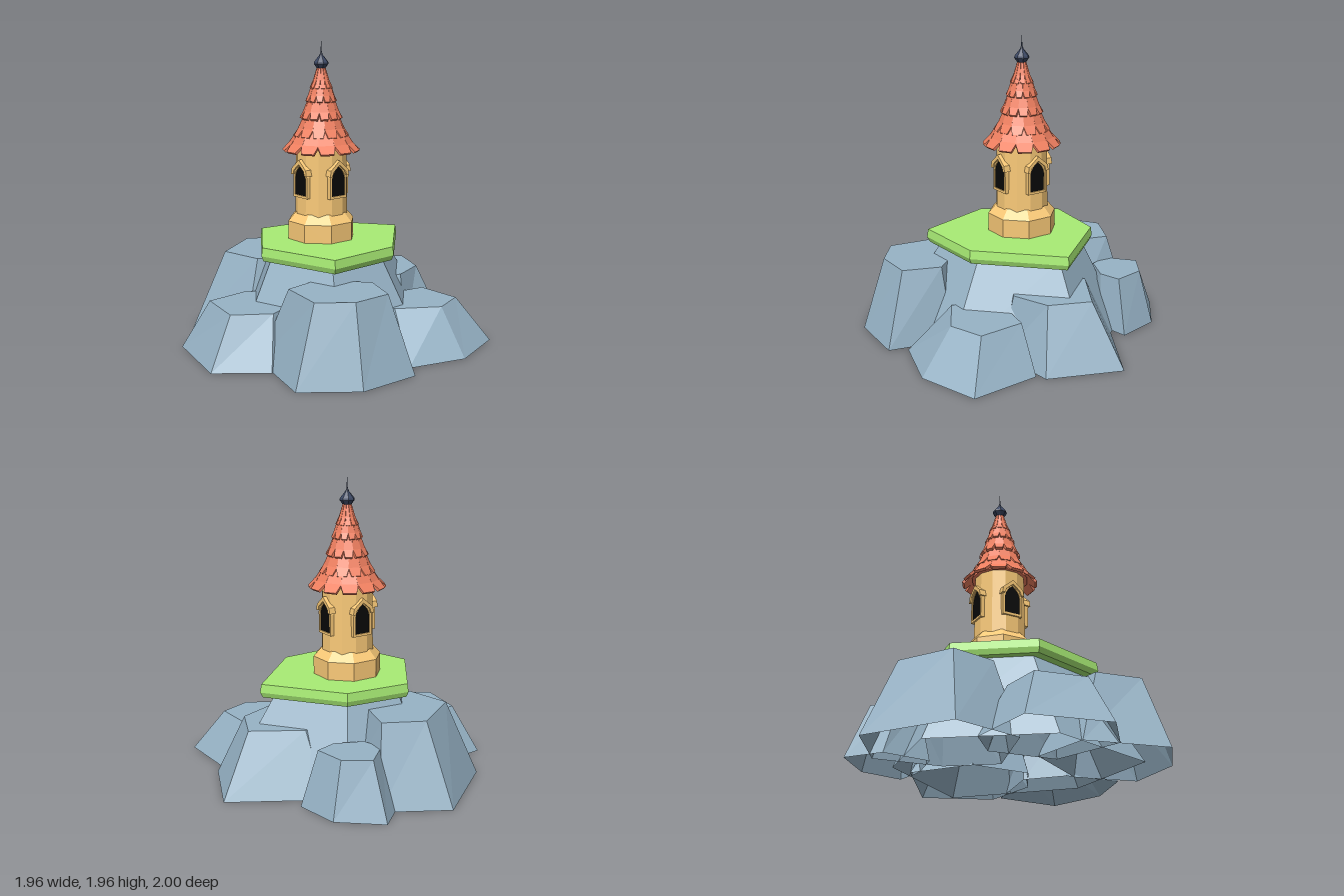
import * as THREE from 'three';
import { mergeGeometries } from 'three/addons/utils/BufferGeometryUtils.js';

const mat = (color, side = THREE.FrontSide) =>
  new THREE.MeshStandardMaterial({ color, flatShading: true, side });
const ROCK = mat(0x97b3c6, THREE.DoubleSide);
const GRASS = mat(0xa8ec74);
const STONE = mat(0xfaca78);
const TILE = mat(0xf08060);
const METAL = mat(0x3c4863);
const DARK = mat(0x080808, THREE.DoubleSide);

function add(parent, name, geometry, material) {
  const mesh = new THREE.Mesh(geometry, material);
  mesh.name = name;
  parent.add(mesh);
  return mesh;
}

// Faceted skin through rings of [x, z] points at given heights, capped on top
function loft(rings) {
  const pos = [];
  const tri = (...pts) => pts.forEach((p) => pos.push(...p));
  const at = ({ y, pts }) => pts.map(([x, z]) => [x, y, z]);
  const n = rings[0].pts.length;
  for (let r = 0; r < rings.length - 1; r++) {
    const a = at(rings[r]), b = at(rings[r + 1]);
    for (let i = 0; i < n; i++) {
      const j = (i + 1) % n;
      tri(a[i], a[j], b[j]);
      tri(a[i], b[j], b[i]);
    }
  }
  const top = at(rings[rings.length - 1]);
  for (let i = 1; i < n - 1; i++) tri(top[0], top[i], top[i + 1]);
  const g = new THREE.BufferGeometry();
  g.setAttribute('position', new THREE.Float32BufferAttribute(pos, 3));
  g.computeVertexNormals();
  return g;
}

// Many-sided turned part with a flat side to the front; profile is [apothem, y]
function turned(sides, profile) {
  const half = Math.PI / sides;
  return new THREE.LatheGeometry(
    profile.map(([r, y]) => new THREE.Vector2(r / Math.cos(half), y)), sides, half);
}

// Pointed arch outline
function arch(path, w, y0, spring, apex) {
  path.moveTo(-w, y0);
  path.lineTo(w, y0);
  path.lineTo(w, spring);
  path.quadraticCurveTo(w * 0.85, spring + (apex - spring) * 0.6, 0, apex);
  path.quadraticCurveTo(-w * 0.85, spring + (apex - spring) * 0.6, -w, spring);
  path.closePath();
  return path;
}

function extrude(shape, z0, z1) {
  return new THREE.ExtrudeGeometry(shape, { depth: z1 - z0, bevelEnabled: false, curveSegments: 4 })
    .translate(0, 0, z0);
}

// Ring of overlapping tiles, each a thin slab that flares out and narrows at its foot
function tileRow([r0, y0, r1, y1], offset) {
  const count = 12, step = (Math.PI * 2) / count, t = Math.tan(step / 2);
  const rMid = r0 + (r1 - r0) * 0.46, yMid = y0 + (y1 - y0) * 0.34;
  const levels = [[r0, y0, r0 * t * 0.66], [rMid, yMid, rMid * t * 1.1], [r1, y1, r1 * t]];
  const tile = new THREE.BoxGeometry(2, 2, 1, 1, 2, 1);
  const p = tile.attributes.position;
  for (let i = 0; i < p.count; i++) {
    const [r, y, w] = levels[Math.round(p.getY(i)) + 1];
    const out = p.getZ(i);
    p.setXYZ(i, p.getX(i) * w, y + out * 0.012, r + out * 0.014);
  }
  const tiles = [];
  for (let i = 0; i < count; i++) tiles.push(tile.clone().rotateY((i + offset) * step));
  return mergeGeometries(tiles);
}

export function createModel() {
  const model = new THREE.Group();

  // Rocks: height, base outline, top outline (left, front, right, back)
  const rocks = [
    ['frontRightRock', 0.52,
      [[-0.98, 0.12], [-0.62, 0.63], [-0.16, 0.52], [0, 0], [-0.3, -0.22], [-0.75, -0.27]],
      [[-0.75, 0.08], [-0.54, 0.41], [-0.24, 0.35], [-0.15, 0.05], [-0.36, -0.09], [-0.62, -0.17]]],
    ['frontRock', 0.32,
      [[-0.38, 0.42], [-0.34, 0.89], [0.17, 1.0], [0.4, 0.71], [0.25, 0.25], [-0.2, 0.2]],
      [[-0.22, 0.48], [-0.2, 0.76], [0.125, 0.82], [0.27, 0.6], [0.18, 0.35], [-0.12, 0.3]]],
    ['frontLeftRock', 0.49,
      [[0.12, 0.25], [0.18, 0.65], [0.72, 0.78], [0.96, 0.47], [0.98, 0.07], [0.56, -0.04]],
      [[0.32, 0.28], [0.36, 0.55], [0.67, 0.6], [0.82, 0.41], [0.82, 0.15], [0.58, 0.06]]],
    ['backLeftRock', 0.29,
      [[0.3, -0.25], [0.5, -0.04], [0.87, 0.01], [0.98, -0.37], [0.85, -0.76], [0.4, -0.75]],
      [[0.34, -0.3], [0.48, -0.14], [0.61, -0.11], [0.77, -0.37], [0.69, -0.59], [0.39, -0.58]]],
    ['backRock', 0.4,
      [[-0.42, -0.45], [-0.15, -0.1], [0.25, -0.1], [0.42, -0.4], [0.37, -0.81], [-0.09, -1.0]],
      [[-0.2, -0.46], [-0.1, -0.22], [0.2, -0.22], [0.34, -0.42], [0.25, -0.66], [-0.01, -0.77]]],
    ['backRightRock', 0.36,
      [[-0.91, -0.33], [-0.74, -0.12], [-0.42, -0.15], [-0.37, -0.42], [-0.41, -0.63], [-0.7, -0.58]],
      [[-0.76, -0.33], [-0.62, -0.17], [-0.48, -0.2], [-0.4, -0.38], [-0.44, -0.52], [-0.65, -0.49]]],
  ];
  for (const [name, y, base, top] of rocks) {
    add(model, name, loft([{ y: 0, pts: base }, { y, pts: top }]), ROCK);
  }

  // Plateau: central rock and chamfered grass slab share one outline
  const outline = [[-0.455, 0.165], [0, 0.49], [0.535, 0.325], [0.515, -0.185], [0.07, -0.635], [-0.4, -0.275]];
  const ring = (y, k) => ({ y, pts: outline.map(([x, z]) => [x * k, z * k]) });
  add(model, 'centralRock', loft([ring(0, 1.42), ring(0.6, 0.82)]), ROCK);
  add(model, 'grassSlab', loft([ring(0.575, 0), ring(0.575, 0.97), ring(0.61, 1), ring(0.665, 0.985)]), GRASS);

  // Tower
  const tower = new THREE.Group();
  tower.name = 'tower';
  tower.position.set(-0.007, 0, -0.01);
  model.add(tower);
  add(tower, 'plinth', turned(8, [[0.21, 0.65], [0.21, 0.785], [0.16, 0.845]]), STONE);
  add(tower, 'shaft', turned(12, [[0.168, 0.8], [0.162, 1.29]]), STONE);

  // Four pointed windows with frame and hood
  for (let i = 0; i < 4; i++) {
    const win = new THREE.Group();
    win.name = 'window';
    win.rotation.y = (i * Math.PI) / 2;
    tower.add(win);
    const frame = arch(new THREE.Shape(), 0.07, 0.95, 1.09, 1.19);
    frame.holes.push(arch(new THREE.Path(), 0.056, 0.966, 1.08, 1.163));
    add(win, 'windowFrame', extrude(frame, 0.14, 0.178), STONE);
    add(win, 'windowOpening', new THREE.ShapeGeometry(
      arch(new THREE.Shape(), 0.06, 0.96, 1.08, 1.165), 4).translate(0, 0, 0.171), DARK);
    const hood = new THREE.Shape();
    [[-0.08, 1.1], [-0.06, 1.1], [-0.05, 1.13], [0, 1.172], [0.05, 1.13], [0.06, 1.1],
      [0.08, 1.1], [0.073, 1.14], [0, 1.202], [-0.073, 1.14]]
      .forEach(([x, y], k) => (k ? hood.lineTo(x, y) : hood.moveTo(x, y)));
    add(win, 'windowHood', extrude(hood, 0.14, 0.19), STONE);
  }

  // Roof: inner cone and rows of tiles
  add(tower, 'roofCore', turned(12, [[0, 1.27], [0.185, 1.28], [0.125, 1.39], [0.09, 1.5],
    [0.064, 1.6], [0.018, 1.8]]), TILE);
  const rows = [
    [0.246, 1.25, 0.138, 1.39],
    [0.174, 1.345, 0.1, 1.49],
    [0.132, 1.46, 0.076, 1.59],
    [0.095, 1.57, 0.055, 1.68],
    [0.068, 1.655, 0.018, 1.795],
  ];
  rows.forEach((row, i) => add(tower, 'roofTiles', tileRow(row, (i % 2) / 2), TILE));

  // Finial
  add(tower, 'finial', turned(8, [[0, 1.78], [0.026, 1.785], [0.046, 1.815], [0.044, 1.828],
    [0.012, 1.87], [0.004, 1.89], [0.001, 1.96]]), METAL);

  return model;
}
